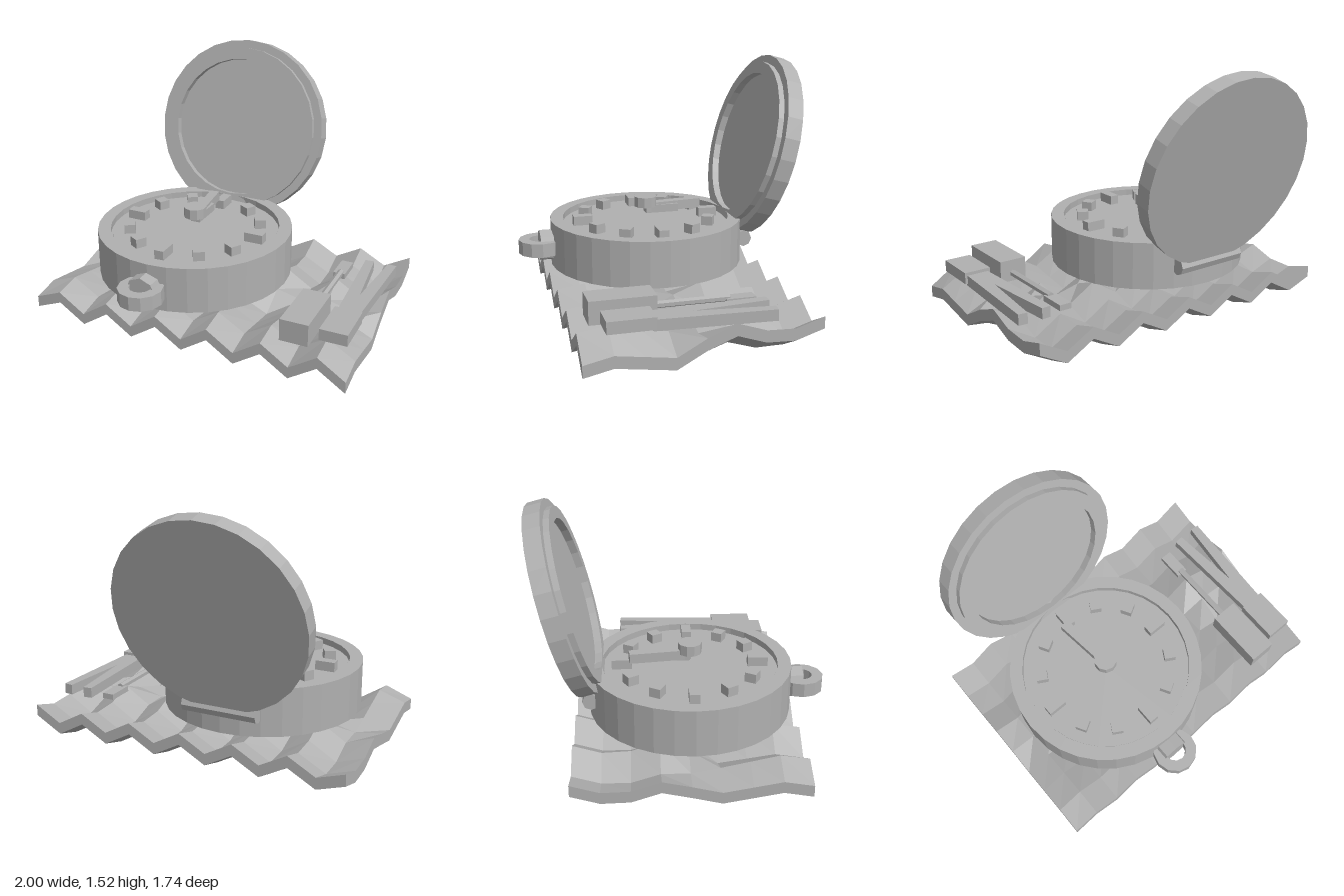
import * as THREE from 'three';

export function createModel() {
  const model = new THREE.Group();
  const grey = new THREE.MeshStandardMaterial({ color: 0xb0b0b0, flatShading: true });
  grey.name = 'plain grey';

  const add = (name, geometry, x = 0, y = 0, z = 0, parent = model) => {
    const mesh = new THREE.Mesh(geometry, grey);
    mesh.name = name;
    mesh.position.set(x, y, z);
    parent.add(mesh);
    return mesh;
  };
  const box = (name, w, h, d, x, y, z) => add(name, new THREE.BoxGeometry(w, h, d), x, y, z);
  const vectors = (points) => points.map(([a, b]) => new THREE.Vector2(a, b));
  const lathe = (points, sides) => new THREE.LatheGeometry(vectors(points), sides);

  // rumpled cloth: each row has a mean height and an alternating fold, which fades at the right edge
  const mean = [0.112, 0.06, 0.063, 0.117, 0.085, 0.055, 0.085, 0.115, 0.085];
  const fold = [0.046, 0.046, 0.05, 0.052, 0.02, -0.04, -0.045, -0.05, -0.055];
  const cloth = new THREE.BoxGeometry(2, 0.07, 1.33, 12, 1, 8);
  const p = cloth.attributes.position;
  for (let i = 0; i < p.count; i++) {
    const column = Math.round((p.getX(i) + 1) * 6);
    const row = Math.round((p.getZ(i) + 0.665) / 1.33 * 8);
    const swing = column === 0 ? 0.2 : column % 2 ? -1 : 1;
    p.setY(i, p.getY(i) + 0.028 + mean[row] + swing * fold[row]);
  }
  cloth.computeVertexNormals();
  add('cloth', cloth, 0, 0, 0.025);

  // case with a raised rim around a sunken dial
  const cx = -0.22, cz = 0.055;
  add('case', lathe([[0, 0.235], [0.61, 0.235], [0.61, 0.52], [0.53, 0.52], [0.53, 0.48],
    [0.518, 0.48], [0.518, 0.485], [0, 0.485]], 32), cx, 0, cz);

  // hour markers, longer at the quarters
  for (let i = 0; i < 12; i++) {
    const a = i * Math.PI / 6;
    const quarter = i % 3 === 0;
    const marker = box('hourMarker', quarter ? 0.06 : 0.07, 0.06, quarter ? 0.12 : 0.07,
      cx + 0.41 * Math.sin(a), 0.513, cz - 0.41 * Math.cos(a));
    marker.rotation.y = -a;
  }

  // hands and centre hub
  box('hourHand', 0.06, 0.05, 0.21, cx, 0.56, -0.05);
  const minute = box('minuteHand', 0.06, 0.06, 0.37, -0.238, 0.57, -0.125);
  minute.rotation.y = 0.12;
  add('handHub', new THREE.CylinderGeometry(0.072, 0.072, 0.065, 10), cx, 0.61, cz);

  // crown and bow ring at the front of the case
  const crown = add('crown', new THREE.CylinderGeometry(0.098, 0.098, 0.1, 8), cx - 0.005, 0.367, 0.69);
  crown.rotation.x = Math.PI / 2;
  add('bowRing', lathe([[0.068, -0.043], [0.135, -0.043], [0.135, 0.043], [0.068, 0.043], [0.068, -0.043]], 12),
    cx - 0.005, 0.367, 0.735);

  // open lid, leaning back, with a stepped inner ring
  const lid = new THREE.Group();
  lid.name = 'lid';
  lid.position.set(-0.223, 0.946, -0.672);
  lid.rotation.x = Math.PI / 2 - 0.262;
  model.add(lid);
  add('lidShell', lathe([[0, -0.05], [0.582, -0.05], [0.582, 0.05], [0.53, 0.05], [0.53, 0.085],
    [0.455, 0.085], [0.455, 0.04], [0, 0.04]], 28), 0, 0, 0, lid);

  // hinge bar
  const hinge = add('hinge', new THREE.CylinderGeometry(0.052, 0.052, 0.46, 8), cx, 0.378, -0.535);
  hinge.rotation.z = Math.PI / 2;

  // screwdriver
  box('screwdriverHandle', 0.17, 0.135, 0.38, 0.665, 0.268, 0.42);
  const shaft = add('screwdriverShaft', new THREE.CylinderGeometry(0.021, 0.021, 0.46, 6), 0.667, 0.25, 0.02);
  shaft.rotation.x = Math.PI / 2;
  box('screwdriverTip', 0.075, 0.035, 0.175, 0.663, 0.235, -0.272);

  // tweezers: grip and two tapered arms meeting in a notch
  box('tweezerGrip', 0.165, 0.07, 0.27, 0.875, 0.262, 0.42);
  const arms = new THREE.Shape(vectors([[-0.066, -0.3], [0.066, -0.3], [0.1, 0.38], [0.045, 0.385],
    [0, -0.07], [-0.045, 0.385], [-0.1, 0.38]]));
  const armPair = add('tweezerArms', new THREE.ExtrudeGeometry(arms, { depth: 0.065, bevelEnabled: false }),
    0.875, 0.213, 0);
  armPair.rotation.x = -Math.PI / 2;

  return model;
}
